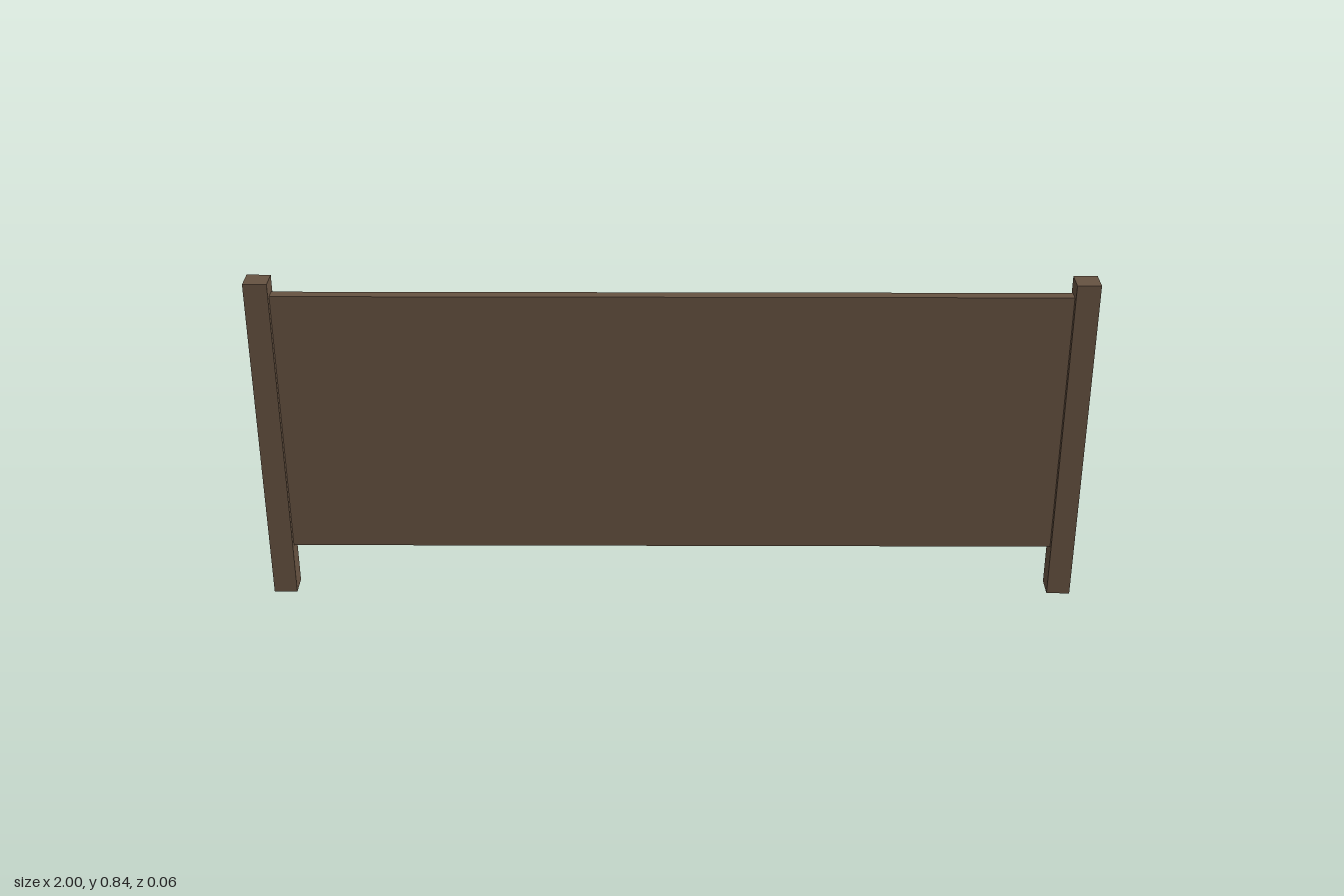
import * as THREE from 'three';

const HEIGHT = 0.843;
const POST = 0.057;

export function createModel() {
  const model = new THREE.Group();
  model.name = 'fencePanel';

  const wood = new THREE.MeshStandardMaterial({ color: 0x665241, side: THREE.DoubleSide });
  wood.name = 'brown wood';

  // Square post, hollow and open underneath
  const postGeometry = new THREE.BoxGeometry(POST, HEIGHT, POST);
  const index = Array.from(postGeometry.index.array);
  index.splice(18, 6); // drop the bottom face
  postGeometry.setIndex(index);
  postGeometry.clearGroups();

  for (const side of [-1, 1]) {
    const post = new THREE.Mesh(postGeometry, wood);
    post.name = side > 0 ? 'leftPost' : 'rightPost';
    post.position.set(side * (1 - POST / 2), HEIGHT / 2, 0);
    model.add(post);
  }

  // Thin board spanning the gap between the posts
  const bottom = 0.128, top = 0.806;
  const board = new THREE.Mesh(new THREE.BoxGeometry(2 - 2 * POST, top - bottom, 0.028), wood);
  board.name = 'board';
  board.position.y = (bottom + top) / 2;
  model.add(board);

  return model;
}
